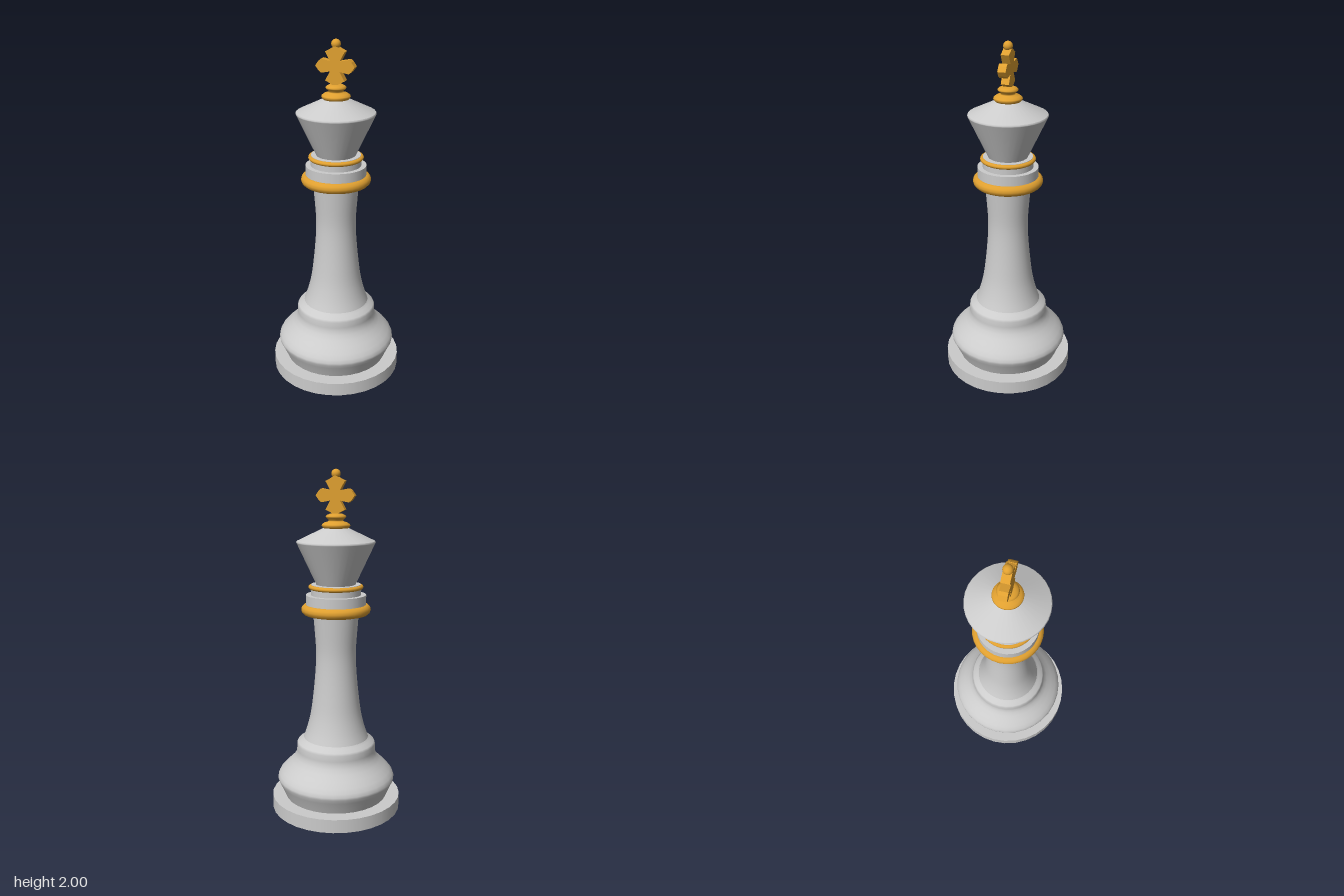
import * as THREE from 'three';

const grey = new THREE.MeshStandardMaterial({ color: 0xcccccc });
const gold = new THREE.MeshStandardMaterial({ color: 0xe0a030 });
const SIDES = 32;

export function createModel() {
  const model = new THREE.Group();

  const add = (name, geometry, material, y = 0) => {
    const mesh = new THREE.Mesh(geometry, material);
    mesh.name = name;
    mesh.position.y = y;
    model.add(mesh);
    return mesh;
  };
  const points = (list) => list.map(([r, y]) => new THREE.Vector2(r, y));
  // Turned part: profile of [radius, height] from bottom to top, smooth along its length
  const turned = (name, profile, material = grey) =>
    add(name, new THREE.LatheGeometry(points(profile), SIDES), material);
  // Turned part following a smooth curve through the profile
  const curved = (name, profile, steps, material = grey) =>
    add(name, new THREE.LatheGeometry(new THREE.SplineCurve(points(profile)).getPoints(steps), SIDES), material);
  // Straight disc with sharp rims
  const disc = (name, rBottom, rTop, y0, y1, material = grey) =>
    add(name, new THREE.CylinderGeometry(rTop, rBottom, y1 - y0, SIDES), material, (y0 + y1) / 2);
  // Rounded ring, squashed in height
  const ring = (name, radius, tube, halfHeight, y) => {
    const geometry = new THREE.TorusGeometry(radius, tube, 12, SIDES);
    geometry.rotateX(Math.PI / 2).scale(1, halfHeight / tube, 1);
    return add(name, geometry, gold, y);
  };

  // Foot and bulging base
  disc('foot', 0.385, 0.385, 0, 0.08);
  turned('baseFlare', [[0.306, 0.08], [0.32, 0.115], [0.338, 0.155], [0.35, 0.18], [0.351, 0.195],
    [0.343, 0.215], [0.325, 0.238], [0.295, 0.268], [0.265, 0.296], [0.246, 0.322], [0.237, 0.345],
    [0.235, 0.365], [0.235, 0.4], [0.228, 0.413], [0.205, 0.428], [0.193, 0.44]]);

  // Tapering stem
  curved('stem', [[0.193, 0.44], [0.172, 0.5], [0.15, 0.59], [0.135, 0.7], [0.123, 0.82],
    [0.117, 0.92], [0.118, 1.0], [0.126, 1.11], [0.133, 1.2]], 24);

  // Stacked collars below the head
  ring('lowerRing', 0.168, 0.033, 0.031, 1.215);
  disc('wideCollar', 0.174, 0.174, 1.21, 1.3);
  disc('narrowCollar', 0.145, 0.145, 1.3, 1.335);
  ring('upperRing', 0.142, 0.016, 0.013, 1.345);
  disc('headSeat', 0.145, 0.142, 1.335, 1.36);

  // Flared head with a conical crown
  disc('head', 0.113, 0.223, 1.36, 1.595);
  turned('headRim', [[0.223, 1.595], [0.225, 1.6], [0.221, 1.606]]);
  disc('crown', 0.221, 0.06, 1.606, 1.683);

  // Gold turned mount for the cross
  turned('finialMount', [[0.058, 1.665], [0.074, 1.68], [0.081, 1.69], [0.079, 1.698], [0.066, 1.708],
    [0.042, 1.715], [0.04, 1.722], [0.055, 1.735], [0.058, 1.742], [0.05, 1.75], [0.035, 1.757], [0, 1.76]], gold);

  // Cross: one arm outline repeated on four sides, each flaring to a blunt point
  const arm = [[0.028, 0.028], [0.055, 0.078], [0.027, 0.092], [0, 0.109], [-0.027, 0.092], [-0.055, 0.078]];
  const sideArm = [[0.028, 0.028], [0.038, 0.078], [0.026, 0.093], [0, 0.111], [-0.026, 0.093], [-0.038, 0.078]];
  const outline = [];
  for (let i = 0; i < 4; i++) {
    const a = (i * Math.PI) / 2;
    for (const [x, y] of i % 2 ? sideArm : arm) {
      outline.push(new THREE.Vector2(x * Math.cos(a) - y * Math.sin(a), x * Math.sin(a) + y * Math.cos(a)));
    }
  }
  const crossGeometry = new THREE.ExtrudeGeometry(new THREE.Shape(outline), { depth: 0.046, bevelEnabled: false });
  crossGeometry.translate(0, 0, -0.023);
  add('cross', crossGeometry, gold, 1.857);

  // Ball on top of the cross
  add('topBall', new THREE.SphereGeometry(0.026, 24, 16), gold, 1.974);

  return model;
}
